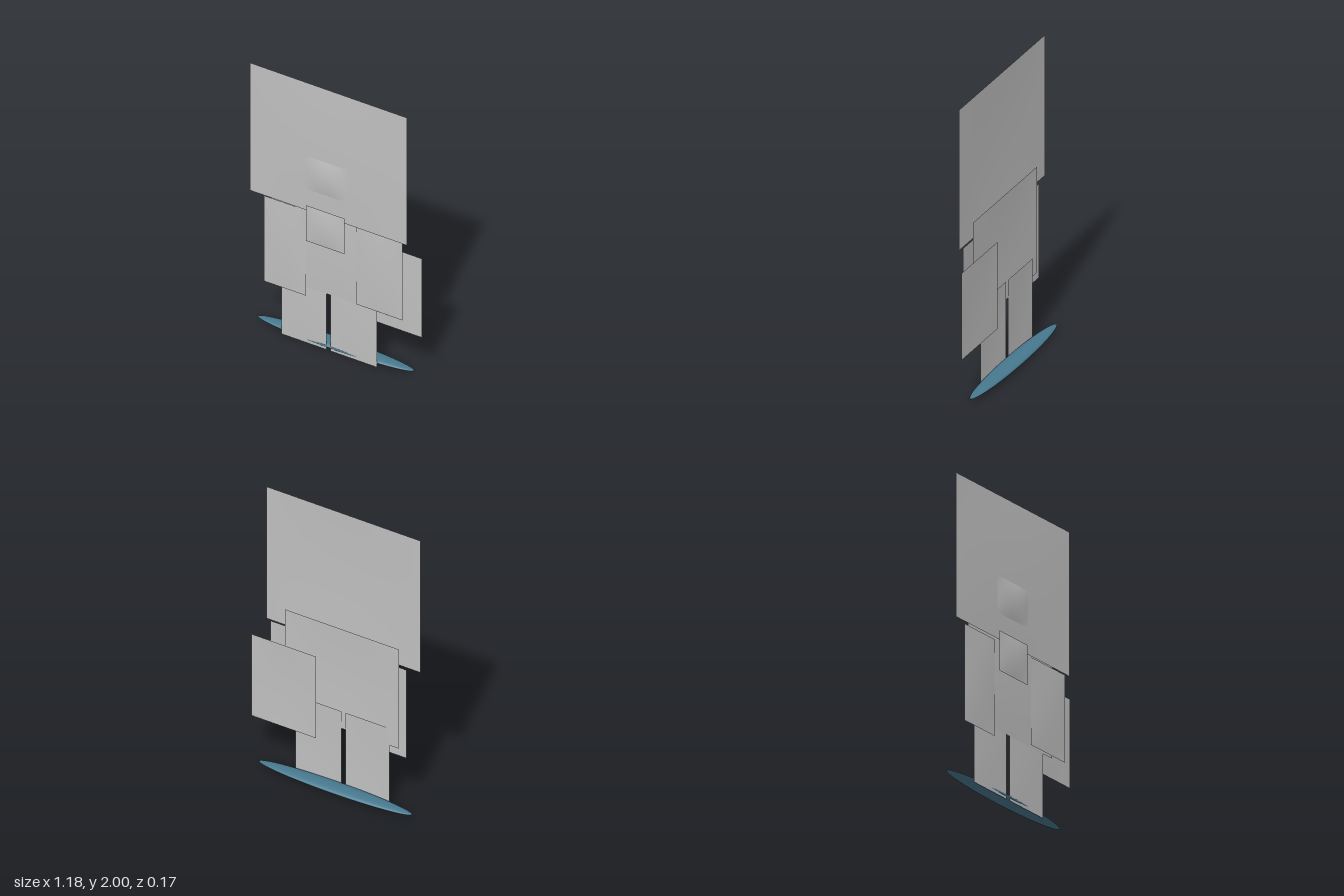
import * as THREE from 'three';

export function createModel() {
  const model = new THREE.Group();
  const grey = new THREE.MeshStandardMaterial({ color: 0xc0c0c0, side: THREE.DoubleSide });
  grey.name = 'panel grey';
  const blue = new THREE.MeshStandardMaterial({ color: 0x47788e });
  blue.name = 'base blue';

  // Thin upright card, gently swelling forward in the middle
  function panel(name, x0, x1, y0, y1, z, bulge) {
    const w = x1 - x0, h = y1 - y0;
    const geo = new THREE.PlaneGeometry(w, h, 12, 12);
    const p = geo.attributes.position;
    for (let i = 0; i < p.count; i++) {
      const u = (2 * p.getX(i)) / w, v = (2 * p.getY(i)) / h;
      p.setZ(i, bulge * (1 - u * u) * (1 - v * v));
    }
    geo.computeVertexNormals();
    const mesh = new THREE.Mesh(geo, grey);
    mesh.name = name;
    mesh.position.set((x0 + x1) / 2, (y0 + y1) / 2, z);
    model.add(mesh);
  }

  // Layered cards from back to front
  panel('tail', 0.125, 0.59, 0.32, 0.92, 0.0, 0.005);
  panel('rightLeg', -0.385, -0.07, 0, 0.56, 0.03, 0.004);
  panel('leftLeg', -0.04, 0.29, 0, 0.56, 0.03, 0.004);
  panel('body', -0.45, 0.37, 0.43, 1.16, 0.036, 0.008);
  panel('rightArm', -0.5, -0.205, 0.37, 1.02, 0.047, 0.007);
  panel('leftArm', 0.15, 0.48, 0.44, 1.03, 0.047, 0.007);
  panel('head', -0.595, 0.515, 1.03, 2, 0.056, 0.008);
  panel('muzzle', -0.2, 0.1, 1.2, 1.45, 0.065, 0.013);
  panel('chestPatch', -0.19, 0.085, 0.81, 1.08, 0.072, 0.01);

  // Flattened oval base
  const base = new THREE.Mesh(new THREE.SphereGeometry(1, 48, 24), blue);
  base.name = 'base';
  base.scale.set(0.553, 0.021, 0.059);
  base.position.set(-0.033, 0.026, -0.025);
  model.add(base);

  return model;
}
